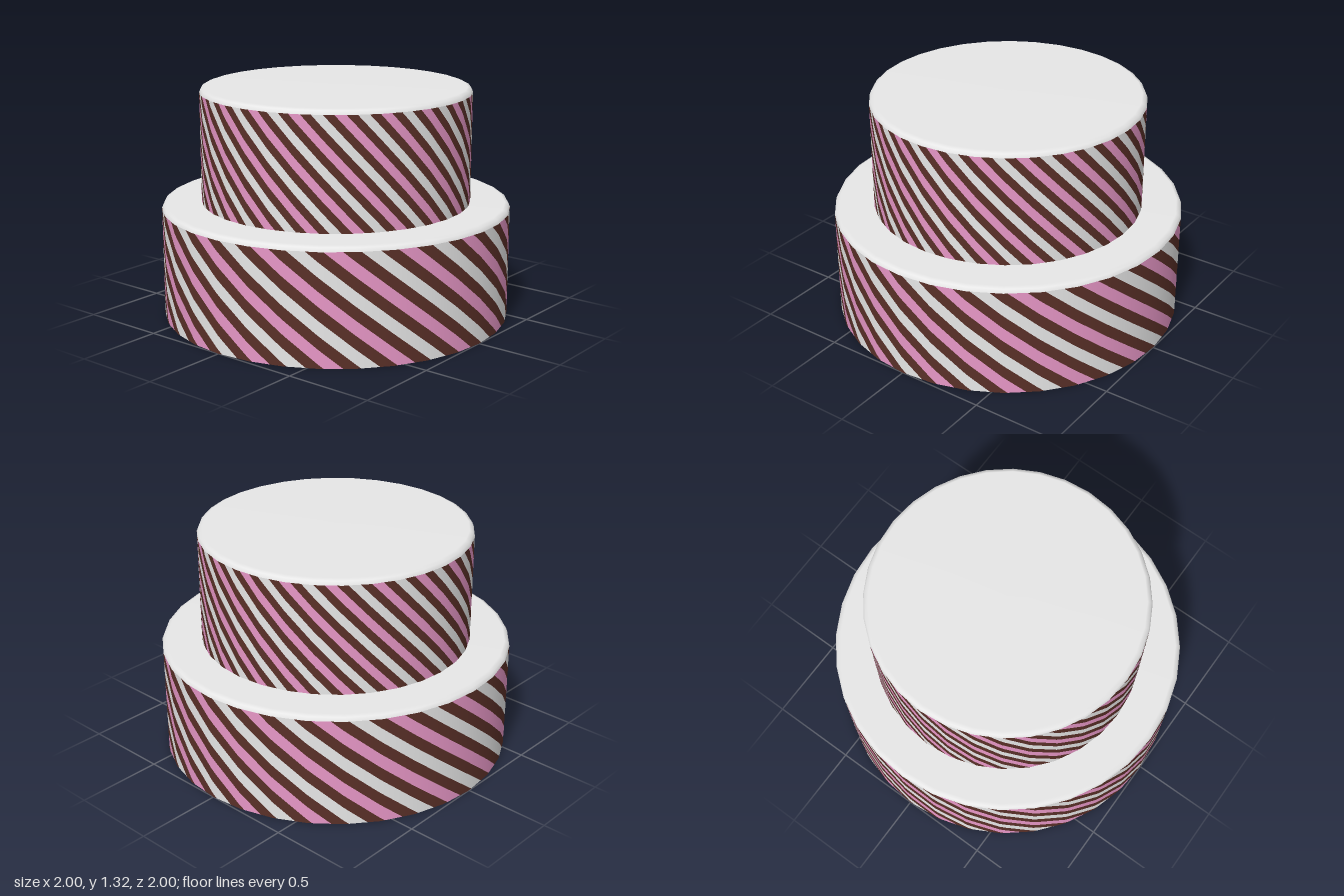
import * as THREE from 'three';

const SEGMENTS = 32, SIDE_H = 0.63, TIER_H = 0.66;

const material = (name, color) => {
  const m = new THREE.MeshStandardMaterial({ color, side: THREE.DoubleSide });
  m.name = name;
  return m;
};

// Radius of a 32-sided ring at a given angle
function ringRadius(radius, angle) {
  const step = (Math.PI * 2) / SEGMENTS;
  const local = angle - Math.floor(angle / step) * step - step / 2;
  return (radius * Math.cos(step / 2)) / Math.cos(local);
}

// All slanted bands of one colour around a tier, from phase start to end
function bandGeometry({ radius, periods, twist, shift }, start, end) {
  const rows = 24, cols = 4, pos = [], nor = [], index = [];
  for (let k = 0; k < periods; k++) {
    const base = pos.length / 3;
    for (let r = 0; r <= rows; r++) {
      const t = r / rows;
      for (let c = 0; c <= cols; c++) {
        const phase = k + shift + start + ((end - start) * c) / cols + twist * (1 - t);
        const a = (phase / periods) * Math.PI * 2;
        const rad = ringRadius(radius, a);
        pos.push(Math.sin(a) * rad, t * SIDE_H, Math.cos(a) * rad);
        nor.push(Math.sin(a), 0, Math.cos(a));
        if (r < rows && c < cols) {
          const i = base + r * (cols + 1) + c, j = i + cols + 1;
          index.push(i, i + 1, j + 1, i, j + 1, j);
        }
      }
    }
  }
  const g = new THREE.BufferGeometry();
  g.setAttribute('position', new THREE.Float32BufferAttribute(pos, 3));
  g.setAttribute('normal', new THREE.Float32BufferAttribute(nor, 3));
  g.setIndex(index);
  return g;
}

// Icing lid with a small rounded shoulder
function lidGeometry(radius) {
  const b = TIER_H - SIDE_H, steps = 2;
  const points = [];
  for (let i = 0; i <= steps; i++) {
    const a = (i / steps) * Math.PI / 2;
    points.push(new THREE.Vector2(radius - b + Math.cos(a) * b, SIDE_H + Math.sin(a) * b));
  }
  points.push(new THREE.Vector2(0, TIER_H + 0.002));
  return new THREE.LatheGeometry(points, SEGMENTS);
}

export function createModel() {
  const white = material('white icing', 0xfafafa);
  const pink = material('pink icing', 0xf29ed0);
  const brown = material('chocolate', 0x5a3028);

  // Chocolate bands are slightly narrower than the icing bands
  const half = 0.12;
  const bands = [
    ['chocolateBands', brown, -half, half],
    ['pinkBands', pink, half, 0.5 - half],
    ['chocolateBandsBetween', brown, 0.5 - half, 0.5 + half],
    ['whiteBands', white, 0.5 + half, 1 - half],
  ];

  // Band repeats around each tier, turns over its height, and starting shift
  const tiers = [
    { name: 'lowerTier', radius: 1, y: 0, periods: 16, twist: 2, shift: 0.44 },
    { name: 'upperTier', radius: 0.773, y: 0.662, periods: 20, twist: 2.4, shift: 0 },
  ];

  const model = new THREE.Group();
  model.name = 'tieredCake';
  tiers.forEach((spec) => {
    const tier = new THREE.Group();
    tier.name = spec.name;
    tier.position.y = spec.y;
    const add = (part, geometry, mat) => {
      const mesh = new THREE.Mesh(geometry, mat);
      mesh.name = part;
      tier.add(mesh);
    };
    bands.forEach(([part, mat, s, e]) => add(part, bandGeometry(spec, s, e), mat));
    add('icingLid', lidGeometry(spec.radius), white);
    model.add(tier);
  });
  return model;
}
